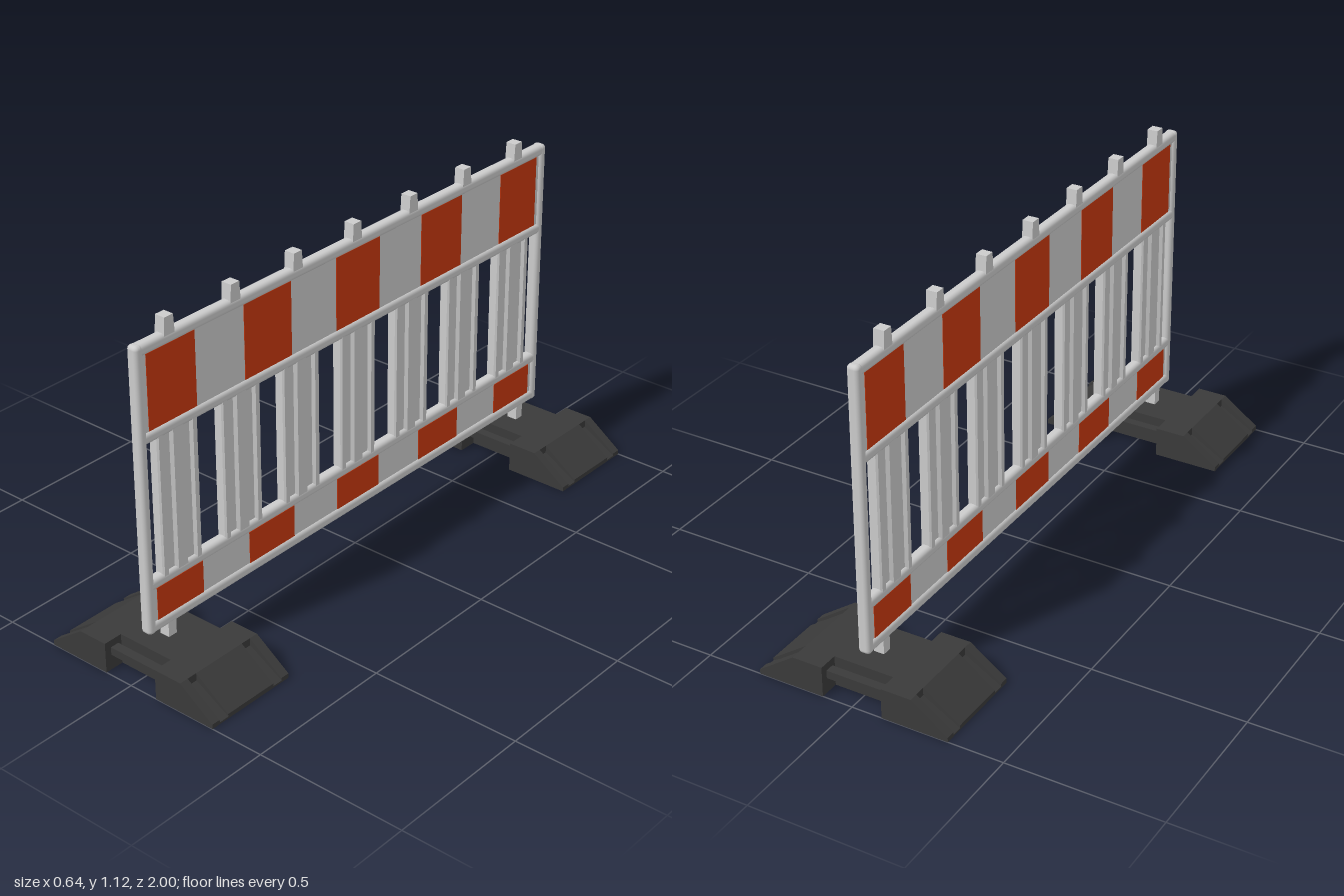
import * as THREE from 'three';
import { RoundedBoxGeometry } from 'three/addons/geometries/RoundedBoxGeometry.js';

const grey = new THREE.MeshStandardMaterial({ color: 0xcccccc });
const orange = new THREE.MeshStandardMaterial({ color: 0xc8380f });
const rubber = new THREE.MeshStandardMaterial({ color: 0x3a3a3a });

function add(parent, name, geometry, material, x = 0, y = 0, z = 0) {
  const mesh = new THREE.Mesh(geometry, material);
  mesh.name = name;
  mesh.position.set(x, y, z);
  parent.add(mesh);
  return mesh;
}

// Prism with an outline in x and y, running from z0 to z1
function prism(points, z0, z1) {
  const shape = new THREE.Shape(points.map(([x, y]) => new THREE.Vector2(x, y)));
  return new THREE.ExtrudeGeometry(shape, { depth: z1 - z0, bevelEnabled: false }).translate(0, 0, z0);
}

// Box given by its y and z limits, centred on x = 0
function slab(parent, name, material, thickness, y0, y1, z0, z1) {
  const geometry = new THREE.BoxGeometry(thickness, y1 - y0, z1 - z0);
  return add(parent, name, geometry, material, 0, (y0 + y1) / 2, (z0 + z1) / 2);
}

function createFoot() {
  const foot = new THREE.Group();
  foot.name = 'foot';
  const body = [[-0.32, 0], [0.32, 0], [0.32, 0.015], [0.2, 0.1], [-0.2, 0.1], [-0.32, 0.015]];
  // Middle strip has a socket open to the underside
  const socketed = [[-0.32, 0], [-0.03, 0], [-0.03, 0.04], [0.03, 0.04], [0.03, 0], ...body.slice(1)];
  add(foot, 'footBody', prism(body, 0.02, 0.095), rubber);
  add(foot, 'footBody', prism(body, -0.095, -0.02), rubber);
  add(foot, 'footSocket', prism(socketed, -0.02, 0.02), rubber);

  // Ends beside the hand notches: a grooved strip, then a full outer strip
  const solid = [[0.1, 0], [0.32, 0], [0.32, 0.015], [0.2, 0.1], [0.1, 0.1]];
  const grooved = [[0.1, 0], [0.32, 0], [0.32, 0.006], [0.2, 0.075], [0.2, 0.1], [0.1, 0.1]];
  const mirrored = (points) => points.map(([x, y]) => [-x, y]).reverse();
  for (const [z0, z1, outline] of [[0.095, 0.13, grooved], [0.13, 0.16, solid]]) {
    for (const points of [outline, mirrored(outline)]) {
      add(foot, 'footEnd', prism(points, z0, z1), rubber);
      add(foot, 'footEnd', prism(points, -z1, -z0), rubber);
    }
  }
  // Carrying bars across the notches
  for (const side of [-1, 1]) {
    add(foot, 'carryBar', new THREE.BoxGeometry(0.2, 0.026, 0.03), rubber, 0, 0.063, side * 0.122);
  }
  return foot;
}

// Corrugated slat with three ribs on both faces
function slatGeometry(height) {
  const half = [[0.012, 0.08], [0.018, 0.076], [0.018, 0.06], [0.008, 0.054], [0.008, 0.026], [0.018, 0.019]];
  const right = [...half.map(([x, z]) => [x, -z]), ...half.slice().reverse()];
  const left = right.map(([x, z]) => [-x, -z]);
  return prism([...right, ...left], 0, height).rotateX(-Math.PI / 2);
}

export function createModel() {
  const model = new THREE.Group();
  model.name = 'barrier';

  // Rounded frame
  const bar = new RoundedBoxGeometry(0.038, 0.037, 1.85, 3, 0.014);
  for (const y of [0.159, 0.301, 0.777, 1.051]) add(model, 'rail', bar, grey, 0, y, 0);
  const post = new RoundedBoxGeometry(0.04, 0.93, 0.03, 3, 0.013);
  for (const side of [-1, 1]) add(model, 'post', post, grey, 0, 0.605, side * 0.918);

  // Warning boards with alternating fields
  const edges = [0.89, 0.7, 0.5, 0.3, 0.1, -0.1, -0.3, -0.5, -0.7, -0.89];
  for (const [bottom, top] of [[0.175, 0.283], [0.795, 1.034]]) {
    slab(model, 'board', grey, 0.022, bottom - 0.01, top + 0.01, -0.91, 0.91);
    for (let i = 0; i < 9; i += 2) {
      slab(model, 'orangeField', orange, 0.025, bottom, top, edges[i + 1], edges[i]);
    }
  }

  // Slats and the tapered pegs on top
  const slat = slatGeometry(0.47);
  const pegOutline = [[-0.021, 0], [0.021, 0], [0.017, 0.058], [-0.017, 0.058]];
  const peg = prism(pegOutline, -0.0175, 0.0175).rotateY(Math.PI / 2);
  for (let i = -3; i <= 3; i++) {
    add(model, 'slat', slat, grey, 0, 0.305, 0.005 + i * 0.26);
    add(model, 'peg', peg, grey, 0, 1.06, 0.01 + i * 0.264);
  }

  // Feet and the stubs standing in them
  for (const side of [-1, 1]) {
    slab(model, 'stub', grey, 0.035, 0.06, 0.15, side * 0.84 - 0.016, side * 0.84 + 0.016);
    const foot = createFoot();
    foot.position.z = side * 0.84;
    model.add(foot);
  }
  return model;
}
